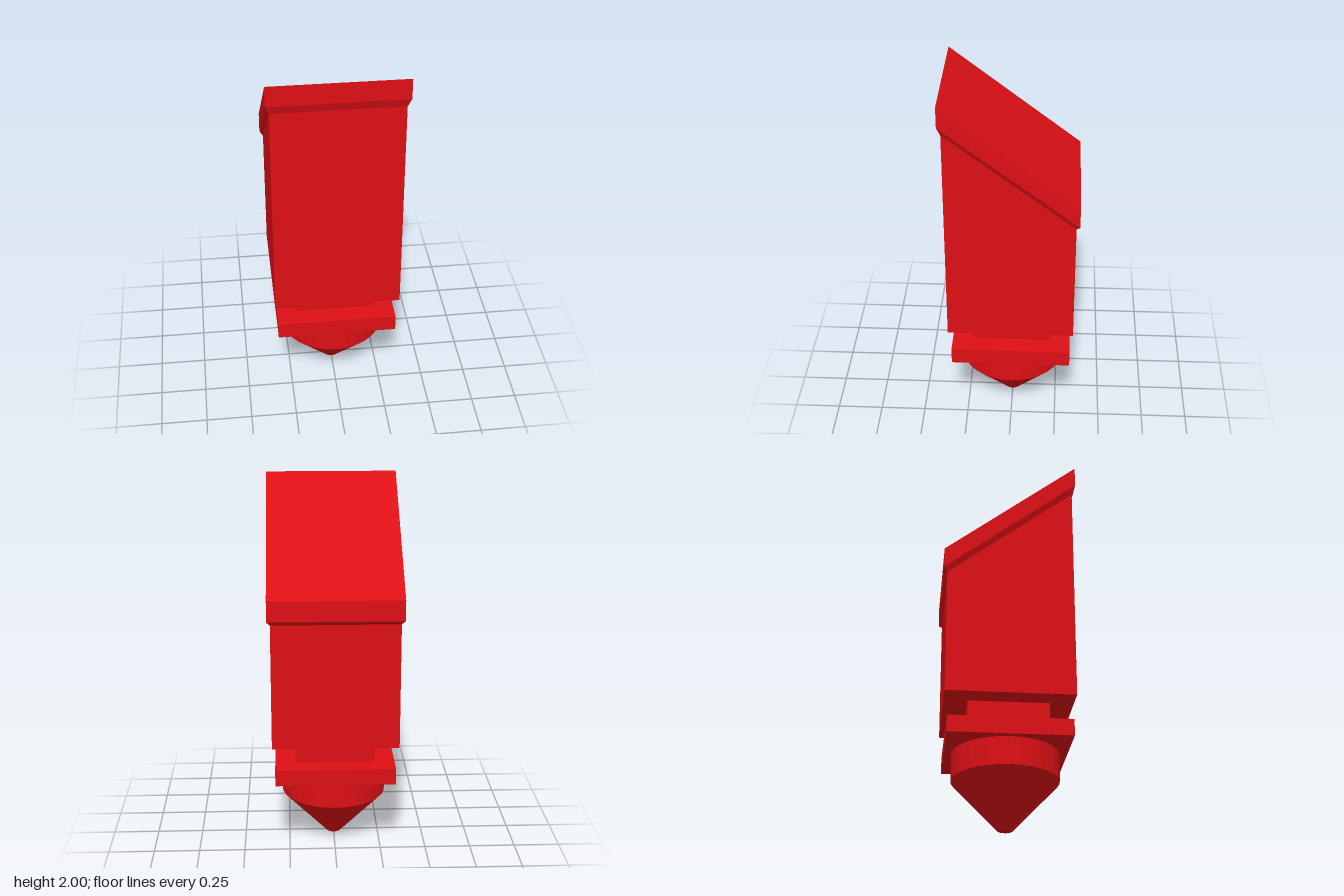
import * as THREE from 'three';

export function createModel() {
  const group = new THREE.Group();
  const red = new THREE.MeshStandardMaterial({ color: 0xdd1015, flatShading: true });

  const add = (name, geometry, y = 0) => {
    const mesh = new THREE.Mesh(geometry, red);
    mesh.name = name;
    mesh.position.y = y;
    group.add(mesh);
  };

  // Stack of rings [radius, y] turned about the y axis
  const turned = (rings, sides, start = 0) =>
    new THREE.LatheGeometry(rings.map(([r, y]) => new THREE.Vector2(r, y)), sides, start);

  // Square stack: rings are [half width, y, slope], y rising towards the front by the slope
  const squareStack = (rings) => {
    const geometry = turned(rings.map(([h, y]) => [h * Math.SQRT2, y]), 4, Math.PI / 4);
    const p = geometry.attributes.position;
    for (let i = 0; i < p.count; i++) {
      const slope = rings[i % rings.length][2] || 0;
      p.setY(i, p.getY(i) + slope * p.getZ(i));
    }
    geometry.computeVertexNormals();
    return geometry;
  };

  // Square block with a slanted, chamfered cap
  const slope = 0.772;
  add('slantedBlock', squareStack([
    [0, 0.63], [0.34, 0.63],
    [0.34, 1.577, slope], [0.358, 1.612, slope],
    [0.358, 1.723, slope], [0, 1.723, slope],
  ]));

  // Square neck and flange
  add('neck', new THREE.BoxGeometry(0.43, 0.13, 0.43), 0.565);
  add('flange', new THREE.BoxGeometry(0.65, 0.09, 0.65), 0.457);

  // Round peg with a blunt conical tip
  add('pointedPeg', turned([[0, 0], [0.04, 0], [0.287, 0.262], [0.287, 0.412], [0, 0.412]], 32));

  return group;
}
